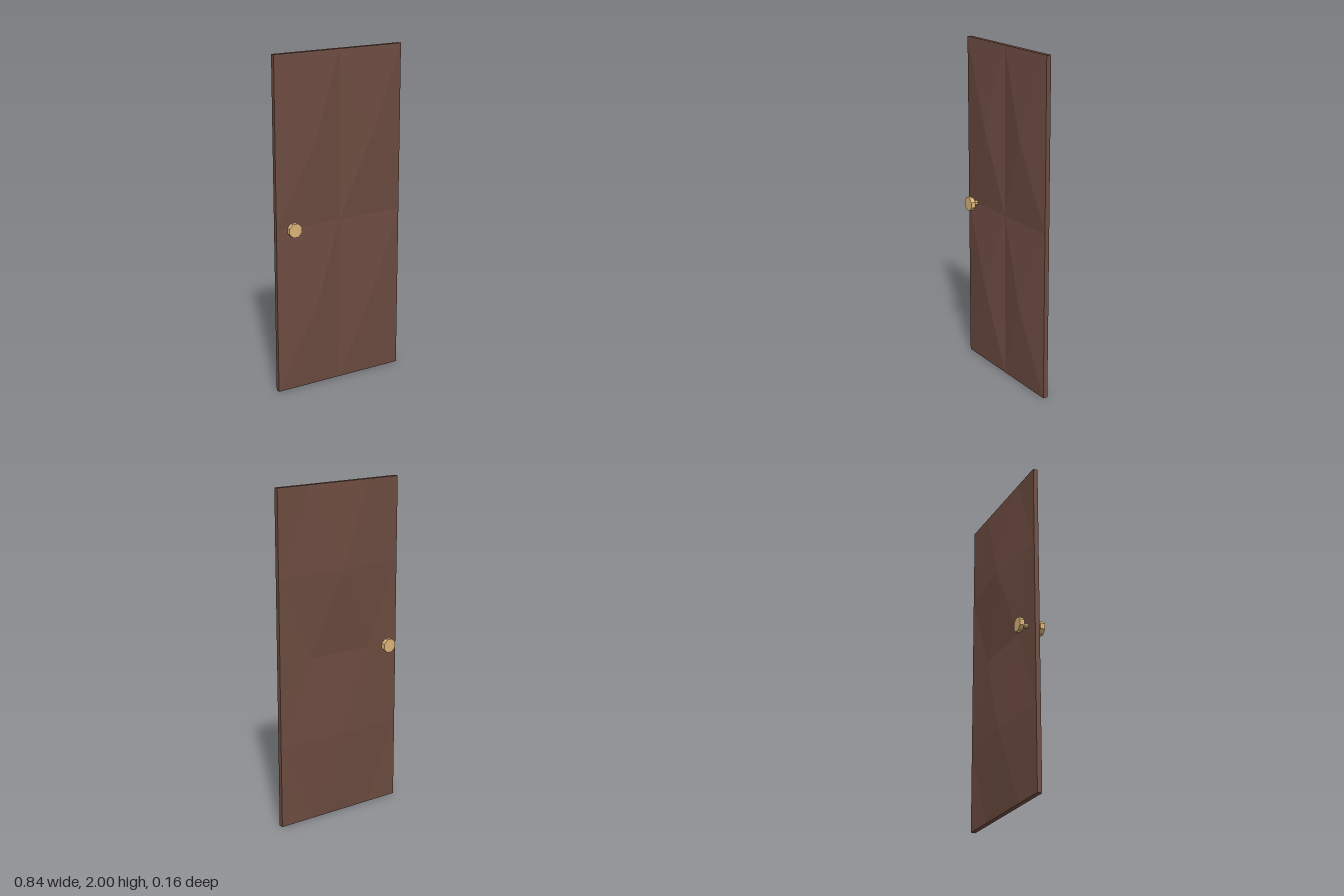
import * as THREE from 'three';

const HALF_W = 0.42, FRONT = 0.015, BACK = -0.013;

const wood = new THREE.MeshStandardMaterial({ color: 0x6d4c41, flatShading: true });
const brass = new THREE.MeshStandardMaterial({ color: 0xdeb47a, flatShading: true });

// Shallow pyramid: triangles from an apex to a loop (counter-clockwise seen from outside)
function facetPanel(name, apex, loop) {
  const points = [];
  loop.forEach((p, i) => points.push(...apex, ...p, ...loop[(i + 1) % loop.length]));
  const geo = new THREE.BufferGeometry();
  geo.setAttribute('position', new THREE.Float32BufferAttribute(points, 3));
  geo.computeVertexNormals();
  const mesh = new THREE.Mesh(geo, wood);
  mesh.name = name;
  return mesh;
}

// Octagonal cylinder lying along z, with flats facing the axes
function octagon(name, apothem, x, z0, z1) {
  const r = apothem / Math.cos(Math.PI / 8);
  const geo = new THREE.CylinderGeometry(r, r, z1 - z0, 8);
  geo.rotateY(Math.PI / 8).rotateX(Math.PI / 2);
  const mesh = new THREE.Mesh(geo, brass);
  mesh.name = name;
  mesh.position.set(x, 1, (z0 + z1) / 2);
  return mesh;
}

export function createModel() {
  const door = new THREE.Group();
  door.name = 'door';

  // Flat core
  const core = new THREE.Mesh(new THREE.BoxGeometry(HALF_W * 2, 2, FRONT - BACK), wood);
  core.name = 'doorCore';
  core.position.set(0, 1, (FRONT + BACK) / 2);
  door.add(core);

  for (const y of [0, 1]) {
    // Two four-sided panels per row on the front, with off-centre peaks
    for (const [x0, x1, peak] of [[-HALF_W, 0, -0.175], [0, HALF_W, 0.205]]) {
      door.add(facetPanel('frontPanel', [peak, y + 0.5, 0.05], [
        [x0, y, FRONT], [x1, y, FRONT], [x1, y + 1, FRONT], [x0, y + 1, FRONT],
      ]));
    }
    // One six-sided panel per row on the back
    const q = HALF_W / 2;
    door.add(facetPanel('backPanel', [0, y + 0.5, y ? -0.05 : -0.042], [
      [HALF_W, y + 0.5, BACK], [q, y, BACK], [-q, y, BACK],
      [-HALF_W, y + 0.5, BACK], [-q, y + 1, BACK], [q, y + 1, BACK],
    ]));
  }

  // Knobs on both faces, joined by a spindle
  door.add(octagon('frontKnob', 0.04, -0.328, 0.048, 0.076));
  door.add(octagon('backKnob', 0.04, -0.324, -0.079, -0.052));
  door.add(octagon('knobSpindle', 0.014, -0.326, -0.053, 0.049));
  return door;
}
